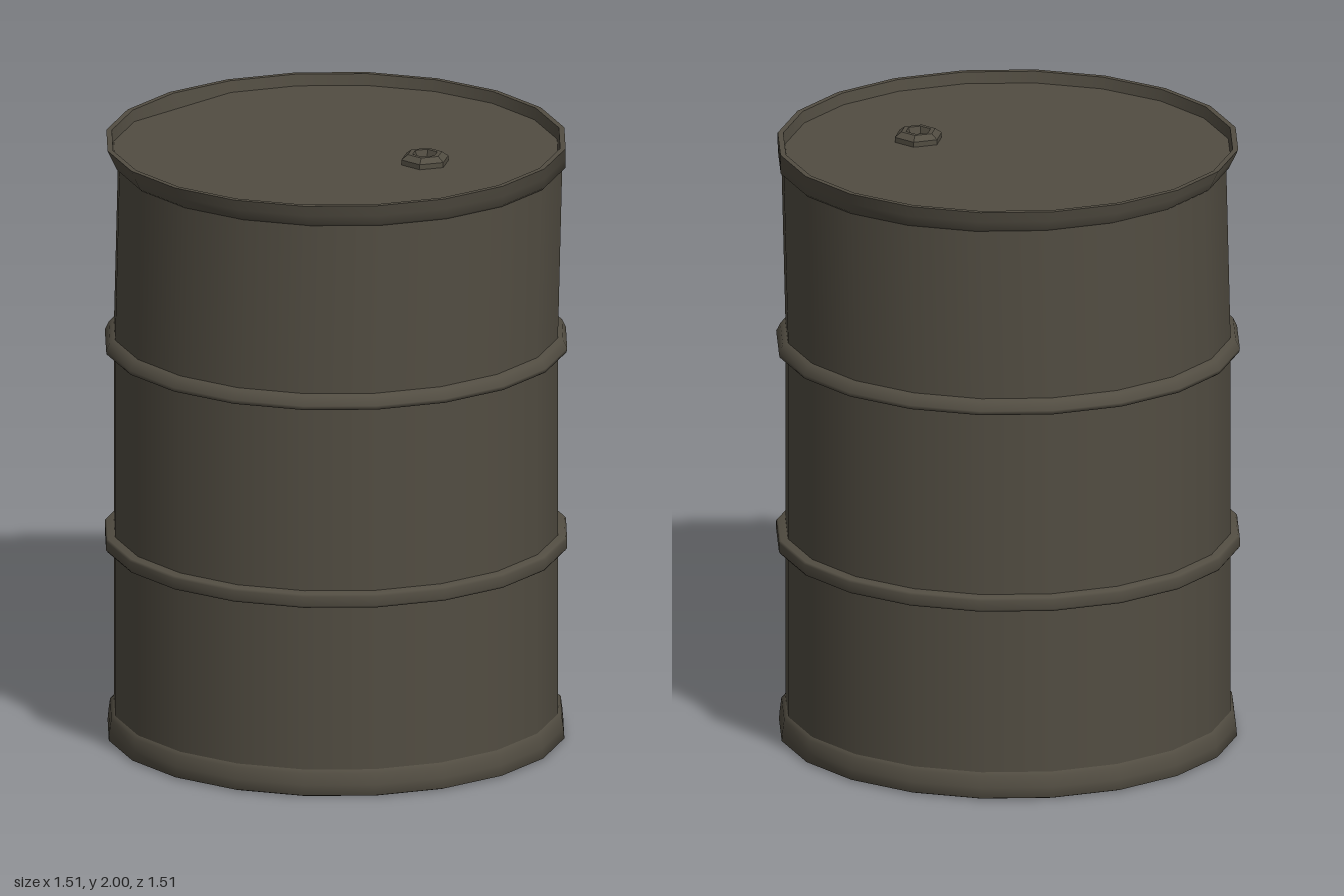
import * as THREE from 'three';

const SIDES = 20;

export function createModel() {
  const group = new THREE.Group();
  group.name = 'drum';
  const steel = new THREE.MeshStandardMaterial({ color: 0x524d42 });
  steel.name = 'dull olive steel';

  // Revolves a profile of [radius, y] points, then lets a rule move its vertices
  function turned(name, profile, rule) {
    const geo = new THREE.LatheGeometry(profile.map(([r, y]) => new THREE.Vector2(r, y)), SIDES);
    if (rule) {
      const pos = geo.attributes.position;
      const v = new THREE.Vector3();
      for (let i = 0; i < pos.count; i++) {
        v.fromBufferAttribute(pos, i);
        rule(v);
        pos.setXYZ(i, v.x, v.y, v.z);
      }
    }
    const mesh = new THREE.Mesh(geo, steel);
    mesh.name = name;
    group.add(mesh);
    return mesh;
  }

  // The battered upper wall leans slightly towards +x and +z, most at y = 1.93
  const lean = (v) => {
    const t = v.y < 1.93 ? (v.y - 1.36) / 0.57 : (2 - v.y) / 0.07;
    const k = THREE.MathUtils.clamp(t, 0, 1);
    v.x += 0.013 * k;
    v.z += 0.01 * k;
  };

  // One corner of the lid is knocked inwards at the back
  const dentAngle = Math.PI * 1.1;
  const dent = (v) => {
    const angle = (Math.atan2(v.x, v.z) + Math.PI * 2) % (Math.PI * 2);
    if (v.y < 1.97 && Math.hypot(v.x, v.z) > 0.1 && Math.abs(angle - dentAngle) < 0.05) {
      v.x *= 0.951;
      v.z *= 0.951;
    }
  };

  // Walls
  turned('lowerWall', [[0.725, 0.07], [0.725, 1.34]]);
  turned('upperWall', [[0.725, 1.34], [0.725, 1.36], [0.725, 1.94]], lean);

  // Rolling hoops
  turned('lowerHoop', [[0.722, 0.635], [0.749, 0.642], [0.755, 0.65], [0.755, 0.68], [0.749, 0.687], [0.722, 0.693]]);
  turned('upperHoop', [[0.722, 1.308], [0.753, 1.312], [0.755, 1.325], [0.742, 1.352], [0.722, 1.36]]);

  // Bottom chime and base
  turned('bottomRim', [[0.73, 0], [0.746, 0.006], [0.743, 0.04], [0.738, 0.078], [0.722, 0.09]]);
  turned('base', [[0, 0.004], [0.732, 0.004]]);

  // Top chime, its inner lip and the sunken lid
  turned('topRim', [[0.722, 1.925], [0.734, 1.935], [0.742, 1.965], [0.75, 2]], lean);
  turned('topRimEdge', [[0.75, 2], [0.732, 2]]);
  turned('innerLip', [[0.732, 2], [0.726, 1.962]], dent);
  turned('lid', [[0.726, 1.962], [0, 1.962]], dent);

  // Six-sided filler plug with a sunken middle
  const plugProfile = [[0.08, 0], [0.08, 0.018], [0.058, 0.034], [0.042, 0.034], [0.032, 0.008], [0, 0.008]];
  const plugGeo = new THREE.LatheGeometry(plugProfile.map(([r, y]) => new THREE.Vector2(r, y)), 6).toNonIndexed();
  plugGeo.computeVertexNormals();
  const plug = new THREE.Mesh(plugGeo, steel);
  plug.name = 'fillerPlug';
  plug.position.set(0.19, 1.961, 0.255);
  plug.rotation.y = 0.35;
  group.add(plug);

  return group;
}
